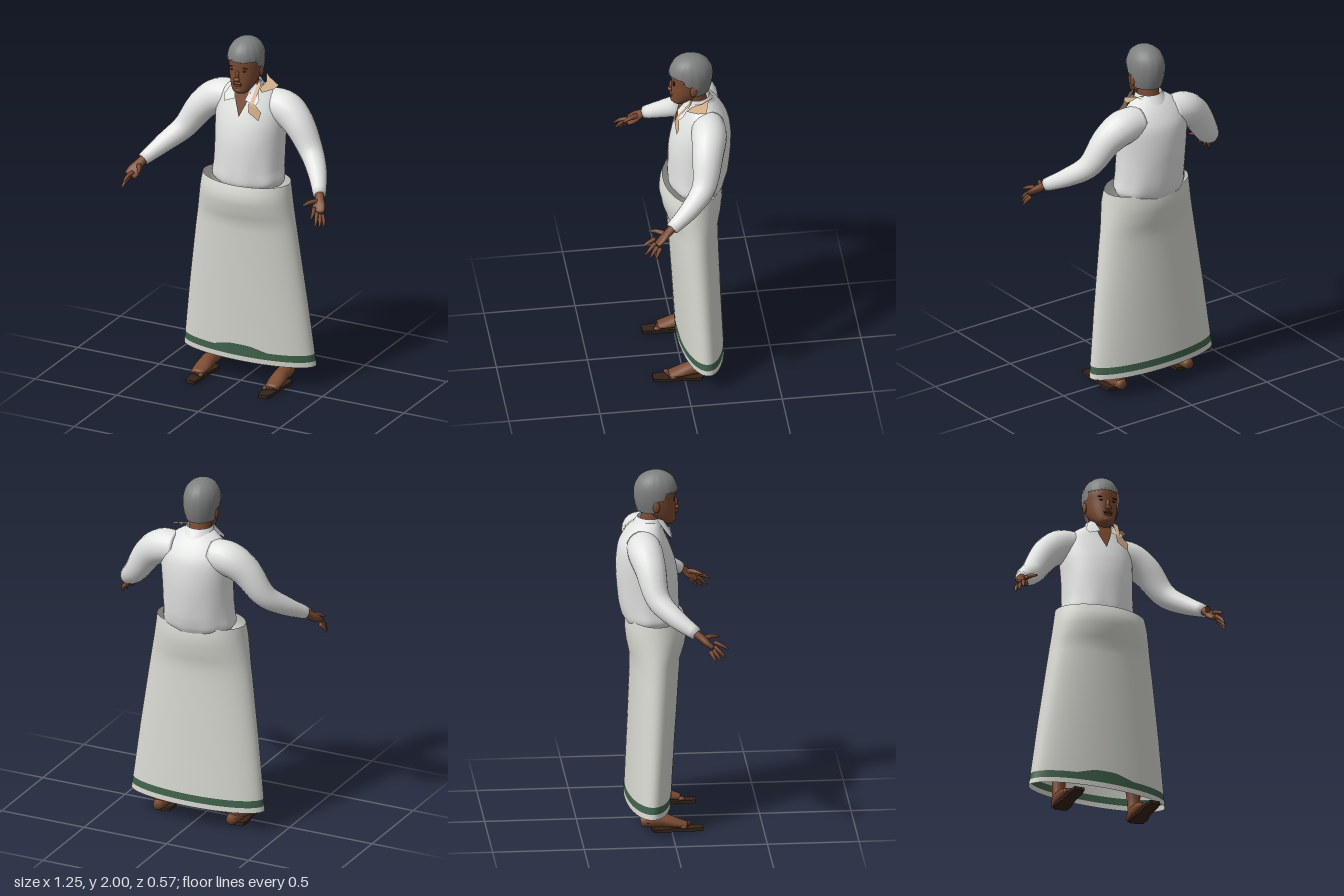
import * as THREE from 'three';

const mat = (name, color, side = THREE.FrontSide) => {
  const m = new THREE.MeshStandardMaterial({ color, side });
  m.name = name;
  return m;
};
const V = (x, y, z) => new THREE.Vector3(x, y, z);

// Piecewise linear lookup in rows sorted by their first value
function sample(rows, y) {
  let i = 0;
  while (i < rows.length - 2 && y > rows[i + 1][0]) i++;
  const a = rows[i], b = rows[i + 1];
  const t = THREE.MathUtils.clamp((y - a[0]) / (b[0] - a[0]), 0, 1);
  return a.map((v, k) => v + (b[k] - v) * t);
}

// Joins closed rings of points into a smooth skin, optionally capped
function loft(rings, capStart = false, capEnd = false) {
  const n = rings[0].length, pos = [], idx = [];
  rings.forEach(r => r.forEach(p => pos.push(p.x, p.y, p.z)));
  for (let i = 0; i < rings.length - 1; i++) for (let j = 0; j < n; j++) {
    const a = i * n + j, b = i * n + (j + 1) % n;
    idx.push(a, b, b + n, a, b + n, a + n);
  }
  const cap = (i, flip) => {
    const c = rings[i].reduce((s, p) => s.add(p), V(0, 0, 0)).divideScalar(n);
    const k = pos.length / 3;
    pos.push(c.x, c.y, c.z);
    for (let j = 0; j < n; j++) {
      const a = i * n + j, b = i * n + (j + 1) % n;
      flip ? idx.push(k, b, a) : idx.push(k, a, b);
    }
  };
  if (capStart) cap(0, true);
  if (capEnd) cap(rings.length - 1, false);
  const g = new THREE.BufferGeometry();
  g.setAttribute('position', new THREE.Float32BufferAttribute(pos, 3));
  g.setIndex(idx);
  g.computeVertexNormals();
  return g;
}

// Horizontal oval ring from half width and front/back depth
const angles = n => Array.from({ length: n }, (_, j) => j / n * Math.PI * 2);
const oval = (n, y, rx, zf, zb) => angles(n).map(a =>
  V(Math.sin(a) * rx, y, (zf + zb) / 2 + Math.cos(a) * (zf - zb) / 2));

// Rows [y, halfWidth, front, back] smoothed into rings
function body(rows, n, steps) {
  const c1 = new THREE.CatmullRomCurve3(rows.map(r => V(r[0], r[1], 0)));
  const c2 = new THREE.CatmullRomCurve3(rows.map(r => V(r[2], r[3], 0)));
  return Array.from({ length: steps + 1 }, (_, i) => {
    const p = c1.getPoint(i / steps), q = c2.getPoint(i / steps);
    return oval(n, p.x, p.y, q.x, q.y);
  });
}

// Round limb through rows [x, y, z, radius, flatness]
function limb(rows, n = 14, steps = 16, ref = V(0, 0, 1)) {
  const path = new THREE.CatmullRomCurve3(rows.map(r => V(r[0], r[1], r[2])));
  const size = new THREE.CatmullRomCurve3(rows.map(r => V(r[3], r[4] ?? 1, 0)));
  const rings = [];
  for (let i = 0; i <= steps; i++) {
    const c = path.getPoint(i / steps), t = path.getTangent(i / steps), s = size.getPoint(i / steps);
    const u = ref.clone().cross(t).normalize(), v = u.clone().cross(t);
    rings.push(angles(n).map(a => c.clone()
      .addScaledVector(u, Math.sin(a) * s.x * s.y).addScaledVector(v, Math.cos(a) * s.x)));
  }
  return loft(rings, true, true);
}

// Flat cloth piece from an outline
function patch(pts) {
  const tris = THREE.ShapeUtils.triangulateShape(pts.map(p => new THREE.Vector2(p[0], p[1] - p[2])), []);
  const g = new THREE.BufferGeometry();
  g.setAttribute('position', new THREE.Float32BufferAttribute(pts.flat(), 3));
  g.setIndex(tris.flat());
  g.computeVertexNormals();
  return g;
}

export function createModel() {
  const root = new THREE.Group();
  root.name = 'standingMan';
  const D = THREE.DoubleSide;
  const shirt = mat('shirtWhite', 0xe2e4e2, D), cloth = mat('wrapWhite', 0xd6d8d0, D);
  const green = mat('borderGreen', 0x41634b, D), skin = mat('skinBrown', 0x7a4a31, D);
  const hair = mat('hairGrey', 0x7e807f, D), sole = mat('sandalBrown', 0x35231a);
  const tan = mat('scarfTan', 0xcfab86, D), dark = mat('faceDark', 0x2c1a13);
  const add = (name, geo, m, parent = root) => {
    const mesh = new THREE.Mesh(geo, m);
    mesh.name = name;
    parent.add(mesh);
    return mesh;
  };

  // Wrapped skirt with a green border that rises at the front
  const wrap = [[0.12, 0.4, 0.012, -0.238], [0.5, 0.355, 0.035, -0.222], [0.85, 0.308, 0.058, -0.21],
    [0.95, 0.293, 0.066, -0.212], [1.03, 0.28, 0.092, -0.228], [1.1, 0.27, 0.105, -0.236],
    [1.14, 0.264, 0.1, -0.235], [1.18, 0.258, 0.085, -0.228]];
  const wrapRing = yAt => angles(72).map(a => {
    const r = sample(wrap, yAt(a));
    return V(Math.sin(a) * r[1], yAt(a), (r[2] + r[3]) / 2 + Math.cos(a) * (r[2] - r[3]) / 2);
  });
  const borderTop = a => {
    const x = Math.abs(Math.sin(a) * 0.4);
    return 0.19 + (Math.cos(a) > 0 ? 0.028 * THREE.MathUtils.clamp((0.17 - x) / 0.11, 0, 1) : 0);
  };
  const level = y => wrapRing(() => y);
  add('wrapHem', loft([level(0.12), level(0.15)]), cloth);
  add('wrapBorder', loft([level(0.15), wrapRing(borderTop)]), green);
  add('wrapSkirt', loft([wrapRing(borderTop), ...[0.35, 0.5, 0.7, 0.85, 0.91, 0.95, 0.99, 1.03, 1.07, 1.1, 1.14, 1.18].map(level)]), cloth);

  // Shirt body, blousing over the waist, with soft folds low down
  const torso = body([[1.15, 0.19, 0.045, -0.235], [1.18, 0.208, 0.058, -0.25], [1.25, 0.202, 0.06, -0.268],
    [1.4, 0.2, 0.055, -0.284], [1.5, 0.205, 0.036, -0.284], [1.58, 0.205, 0.008, -0.272],
    [1.64, 0.185, -0.018, -0.24], [1.69, 0.13, -0.035, -0.2], [1.72, 0.08, -0.04, -0.165]], 48, 28);
  torso.forEach(r => r.forEach((p, j) => {
    const k = 1 + 0.018 * Math.sin(j * 1.15) * THREE.MathUtils.clamp((1.36 - p.y) / 0.18, 0, 1);
    p.x *= k;
    p.z = -0.11 + (p.z + 0.11) * k;
  }));
  add('shirtBody', loft(torso), shirt);

  // Neck, open neckline and collar
  add('neck', limb([[0, 1.58, -0.125, 0.06], [0, 1.68, -0.1, 0.06], [0, 1.8, -0.075, 0.06]], 20, 8), skin);
  add('openNeckline', patch([[0, 1.56, 0.026], [0.03, 1.63, 0.0], [0.052, 1.7, -0.02], [0, 1.71, -0.022],
    [-0.052, 1.7, -0.02], [-0.03, 1.63, 0.0]]), skin);
  const collarRing = (y, r, dz) => angles(32).slice(4, 29).map(a => V(Math.sin(a) * r, y, -0.1 + dz + Math.cos(a) * r));
  const band = new THREE.BufferGeometry();
  const lower = collarRing(1.69, 0.092, -0.008), upper = collarRing(1.74, 0.072, 0.005);
  band.setFromPoints([...lower, ...upper]);
  band.setIndex(lower.slice(1).flatMap((_, j) => [j, j + 1, j + 26, j, j + 26, j + 25]));
  band.computeVertexNormals();
  add('collarBand', band, shirt);
  for (const s of [-1, 1]) {
    add('collarFlap', patch([[s * 0.03, 1.66, 0.012], [s * 0.095, 1.635, 0.016], [s * 0.108, 1.665, -0.01],
      [s * 0.075, 1.73, -0.06], [s * 0.05, 1.735, -0.035]]), shirt);
  }

  // Scarf ends on the left shoulder
  add('scarfShoulder', patch([[0.06, 1.755, -0.19], [0.1, 1.75, -0.15], [0.165, 1.722, -0.13], [0.16, 1.715, -0.085],
    [0.115, 1.705, -0.03], [0.085, 1.71, -0.06], [0.095, 1.735, -0.12]].reverse()), tan);
  add('scarfStrip', patch([[0.075, 1.76, -0.07], [0.098, 1.74, -0.05], [0.085, 1.64, 0.018], [0.062, 1.64, 0.02]]), tan);
  add('scarfFront', patch([[0.058, 1.645, 0.018], [0.088, 1.65, 0.012], [0.132, 1.605, 0.015], [0.122, 1.56, 0.028], [0.06, 1.6, 0.03]]), tan);

  // Sleeves, hands, legs and sandals
  for (const s of [-1, 1]) {
    const m = rows => rows.map(r => [r[0] * s, ...r.slice(1)]);
    const side = s > 0 ? 'left' : 'right';
    add(side + 'Sleeve', limb(m([[0.1, 1.6, -0.145, 0.09], [0.2, 1.592, -0.14, 0.096], [0.29, 1.53, -0.12, 0.086],
      [0.39, 1.388, -0.085, 0.066], [0.47, 1.31, 0, 0.053], [0.54, 1.24, 0.11, 0.036]]), 20, 24), shirt);
    const hand = new THREE.Group();
    hand.name = side + 'Hand';
    root.add(hand);
    add('palm', limb(m([[0.53, 1.25, 0.09, 0.024], [0.55, 1.225, 0.13, 0.026, 0.8], [0.566, 1.19, 0.17, 0.04, 0.42],
      [0.578, 1.168, 0.198, 0.036, 0.35]]), 14, 10, V(s, 0.2, 0)), skin, hand);
    const tips = [[0.555, 1.195, 0.205, 0.575, 1.16, 0.28], [0.57, 1.175, 0.205, 0.592, 1.115, 0.265],
      [0.583, 1.16, 0.195, 0.607, 1.105, 0.24], [0.592, 1.155, 0.18, 0.62, 1.1, 0.212]];
    for (const [x, y, z, X, Y, Z] of tips) {
      add('finger', limb(m([[x, y, z, 0.012], [(x + X) / 2 + 0.004, (y + Y) / 2 + 0.004, (z + Z) / 2, 0.0105], [X, Y, Z, 0.004]]), 8, 6), skin, hand);
    }
    add('thumb', limb(m([[0.55, 1.215, 0.145, 0.015], [0.525, 1.22, 0.19, 0.013], [0.503, 1.21, 0.235, 0.005]]), 8, 6), skin, hand);

    add(side + 'Leg', limb(m([[0.2, 0.5, -0.12, 0.055], [0.21, 0.32, -0.125, 0.052], [0.222, 0.14, -0.122, 0.036],
      [0.224, 0.05, -0.122, 0.035]]), 16, 12), skin);
    add(side + 'Foot', limb(m([[0.222, 0.05, -0.168, 0.026], [0.223, 0.06, -0.12, 0.038], [0.224, 0.06, -0.05, 0.04, 0.95],
      [0.226, 0.042, 0.03, 0.044, 0.55], [0.228, 0.032, 0.085, 0.036, 0.4]]), 16, 14, V(1, 0, 0)), skin);
    for (let i = 0; i < 5; i++) {
      const toe = add('toe', new THREE.SphereGeometry(1, 10, 8), skin);
      toe.scale.set(i ? 0.008 : 0.012, 0.011, 0.02);
      toe.position.set(s * (0.196 + i * 0.0165), 0.028, 0.092 - i * 0.007);
    }
    const outline = new THREE.Shape([[-0.028, 0.172], [0.028, 0.172], [0.036, 0.12], [0.034, 0.03], [0.048, -0.05],
      [0.042, -0.095], [0, -0.112], [-0.042, -0.1], [-0.046, -0.05], [-0.034, 0.03], [-0.036, 0.12]]
      .reverse().map(p => new THREE.Vector2(s * p[0], -p[1])));
    const sandal = add(side + 'Sandal', new THREE.ExtrudeGeometry(outline, { depth: 0.018, bevelEnabled: false }), sole);
    sandal.rotation.x = -Math.PI / 2;
    sandal.scale.y = -1;
    sandal.position.set(s * 0.224, 0, 0);
    sandal.geometry.scale(1, -1, 1);
    const ix = sandal.geometry.attributes.position;
    for (let i = 0; i < ix.count; i++) ix.setY(i, -ix.getY(i));
    sandal.scale.y = 1;
  }

  // Face
  const head = new THREE.Group();
  head.name = 'head';
  root.add(head);
  add('face', loft(body([[1.698, 0.026, 0.024, -0.02], [1.712, 0.046, 0.04, -0.045], [1.745, 0.066, 0.043, -0.1],
    [1.79, 0.082, 0.042, -0.145], [1.84, 0.09, 0.04, -0.168], [1.89, 0.092, 0.042, -0.172],
    [1.94, 0.078, 0.02, -0.15], [1.97, 0.05, -0.01, -0.12]], 32, 20), true, true), skin, head);
  const blob = (name, m, x, y, z, a, b, c) => {
    const p = add(name, new THREE.SphereGeometry(1, 14, 10), m, head);
    p.position.set(x, y, z);
    p.scale.set(a, b, c);
    return p;
  };
  blob('noseBridge', skin, 0, 1.81, 0.04, 0.011, 0.032, 0.014);
  blob('noseTip', skin, 0, 1.788, 0.047, 0.018, 0.013, 0.015);
  blob('upperLip', skin, 0, 1.764, 0.04, 0.027, 0.007, 0.012);
  blob('lowerLip', skin, 0, 1.75, 0.039, 0.022, 0.007, 0.012);
  blob('mouthLine', dark, 0, 1.757, 0.042, 0.025, 0.002, 0.008);
  blob('chin', skin, 0, 1.722, 0.032, 0.025, 0.016, 0.014);
  for (const s of [-1, 1]) {
    blob('eye', dark, s * 0.036, 1.836, 0.031, 0.013, 0.004, 0.005);
    blob('eyebrow', dark, s * 0.038, 1.855, 0.031, 0.02, 0.003, 0.005).rotation.z = -s * 0.1;
    blob('ear', skin, s * 0.091, 1.815, -0.07, 0.01, 0.032, 0.02);
  }

  // Hair cap: low at the nape, cut high across the forehead
  const hairRing = t => angles(40).map((a, j) => {
    const c = Math.cos(a), low = c > 0.45 ? 1.89 : c > -0.1 ? 1.85 : 1.775;
    const y = low + (1.999 - low) * Math.sin(t * Math.PI / 2);
    const h = (y - 1.88) / 0.12;
    const r = h > 0 ? Math.sqrt(Math.max(0, 1 - h ** 2.4)) : 1 - 0.16 * ((1.88 - y) / 0.105) ** 2;
    const wave = 1 + 0.012 * Math.sin(j * 2.3);
    return V(Math.sin(a) * 0.1 * r * wave, y, -0.065 + c * (c > 0 ? 0.118 : 0.122) * r * wave);
  });
  add('hair', loft([0, 0.1, 0.2, 0.3, 0.4, 0.5, 0.6, 0.7, 0.8, 0.88, 0.95, 1].map(hairRing), false, true), hair, head);

  // Pale flecks along the hairline
  for (let i = -6; i <= 6; i++) {
    const a = i * 0.19;
    const y = (Math.abs(a) < 1.1 ? 1.893 : 1.885) + 0.006 * Math.sin(i * 5);
    blob('hairFleck', shirt, Math.sin(a) * 0.1, y, -0.065 + Math.cos(a) * 0.118, 0.004, 0.003, 0.003);
  }
  return root;
}
